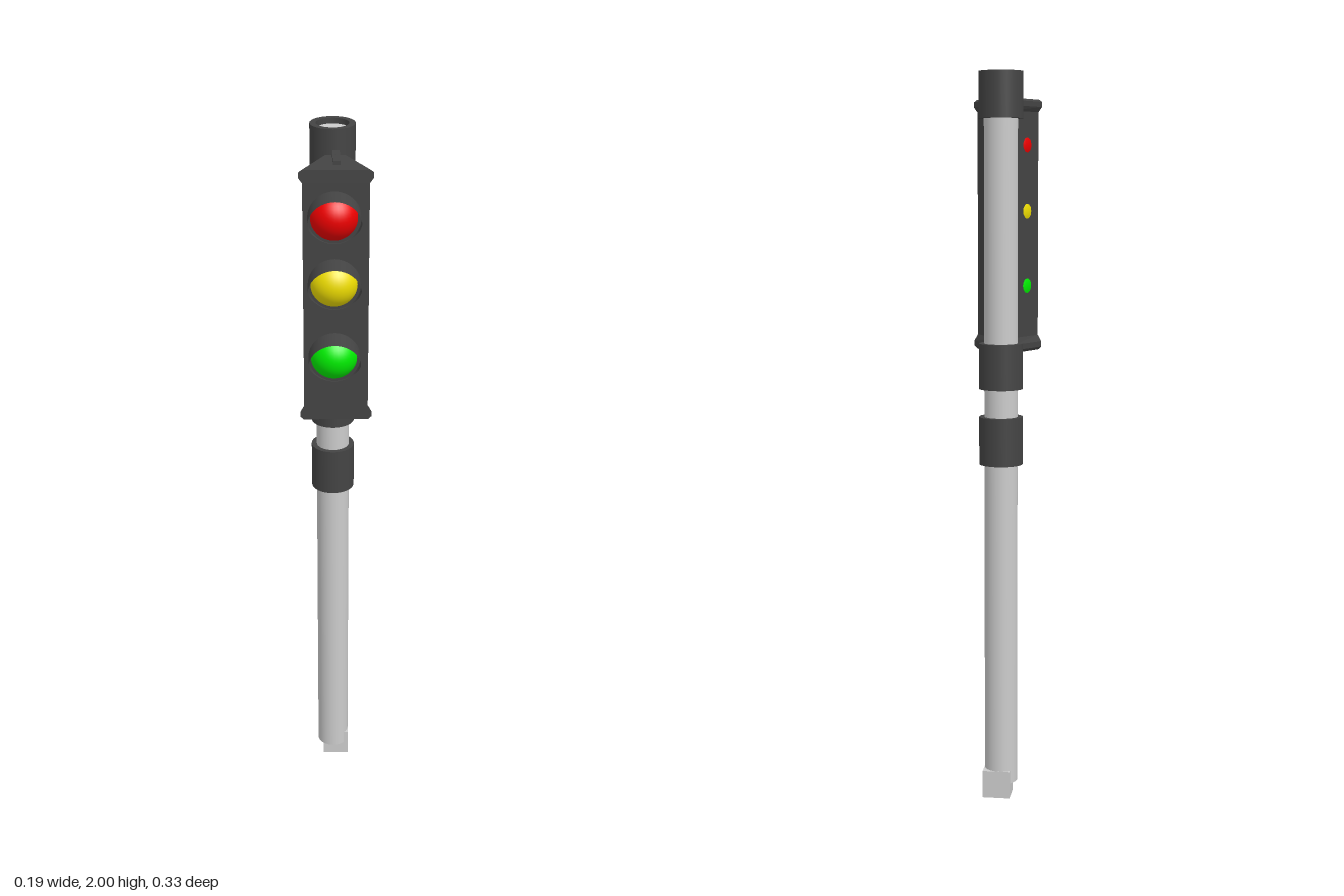
import * as THREE from 'three';

const AXIS_X = -0.006, AXIS_Z = -0.106;

const mat = (color, extra = {}) => new THREE.MeshStandardMaterial({ color, ...extra });

function add(parent, name, geometry, material, x = 0, y = 0, z = 0) {
  const mesh = new THREE.Mesh(geometry, material);
  mesh.name = name;
  mesh.position.set(x, y, z);
  parent.add(mesh);
  return mesh;
}

// Trapezoid in plan, lofted through [height, sideways flare] levels
function housingGeometry() {
  const levels = [[1.243, 0.002], [1.251, 0.01], [1.266, 0.01], [1.284, 0],
    [1.9, 0], [1.914, 0.01], [1.928, 0.01], [1.934, 0.002]];
  const positions = [], index = [];
  for (const [y, f] of levels) {
    const back = 0.025 + f * 0.7, front = 0.085 + f;
    positions.push(-front, y, 0.081, front, y, 0.081, back, y, -0.043, -back, y, -0.043);
  }
  const last = (levels.length - 1) * 4;
  for (let i = 0; i < last; i += 4) {
    for (let k = 0; k < 4; k++) {
      const a = i + k, b = i + (k + 1) % 4;
      index.push(a, b, b + 4, a, b + 4, a + 4);
    }
  }
  index.push(0, 2, 1, 0, 3, 2, last, last + 1, last + 2, last, last + 2, last + 3);
  const indexed = new THREE.BufferGeometry();
  indexed.setAttribute('position', new THREE.Float32BufferAttribute(positions, 3));
  indexed.setIndex(index);
  const geometry = indexed.toNonIndexed();
  geometry.computeVertexNormals();
  return geometry;
}

// Tube around the lens, its front edge cut back towards the bottom
function visorGeometry(radius) {
  const cut = [[-0.07, 0.084], [-0.05, 0.088], [-0.012, 0.118], [0.0, 0.136], [0.016, 0.15], [0.045, 0.158], [0.07, 0.164]];
  const reach = (h) => {
    let i = 0;
    while (i < cut.length - 2 && h > cut[i + 1][0]) i++;
    const t = (h - cut[i][0]) / (cut[i + 1][0] - cut[i][0]);
    return THREE.MathUtils.lerp(cut[i][1], cut[i + 1][1], THREE.MathUtils.clamp(t, 0, 1));
  };
  const geometry = new THREE.CylinderGeometry(radius, radius, 1, 48, 1, true);
  geometry.rotateX(Math.PI / 2);
  const p = geometry.attributes.position;
  for (let i = 0; i < p.count; i++) p.setZ(i, p.getZ(i) > 0 ? reach(p.getY(i)) : 0.075);
  return geometry;
}

export function createModel() {
  const model = new THREE.Group();
  model.name = 'trafficLight';
  const grey = mat(0xcccccc);
  const dark = mat(0x444444);
  const darkThin = mat(0x444444, { side: THREE.DoubleSide });

  // Pole and the block at its foot
  add(model, 'pole', new THREE.CylinderGeometry(0.046, 0.046, 1.945, 32), grey, AXIS_X, 0.04 + 1.945 / 2, AXIS_Z);
  add(model, 'footBlock', new THREE.BoxGeometry(0.077, 0.077, 0.077), grey, 0.002, 0.0385, -0.114);

  // Hollow collars clamped around the pole
  for (const [bottom, top] of [[0.945, 1.076], [1.153, 1.277], [1.877, 2]]) {
    const profile = [[0.044, bottom], [0.06, bottom], [0.06, bottom], [0.06, top], [0.06, top],
      [0.044, top], [0.044, top], [0.044, bottom]].map(([r, y]) => new THREE.Vector2(r, y));
    add(model, 'collar', new THREE.LatheGeometry(profile, 32), dark, AXIS_X, 0, AXIS_Z);
  }

  // Signal housing and the brackets joining it to the collars
  const head = new THREE.Group();
  head.name = 'signalHead';
  model.add(head);
  add(head, 'housing', housingGeometry(), dark);
  for (const [y, side] of [[1.939, 1], [1.239, -1]]) {
    add(head, 'bracket', new THREE.BoxGeometry(0.021, 0.013, 0.1), dark, 0.002, y, -0.008);
    add(head, 'bracketBolt', new THREE.CylinderGeometry(0.005, 0.005, 0.008, 12), dark, -0.005, y + side * 0.003, -0.01);
  }

  // Three lenses, each under its visor
  const lens = new THREE.SphereGeometry(0.0655, 32, 24);
  const visor = visorGeometry(0.069);
  for (const [name, color, y] of [['red', 0xee0000, 1.81], ['yellow', 0xeedd00, 1.63], ['green', 0x00ee00, 1.425]]) {
    add(head, name + 'Lens', lens, mat(color), -0.005, y, 0.058);
    add(head, name + 'Visor', visor, darkThin, -0.004, y, 0);
  }
  return model;
}
